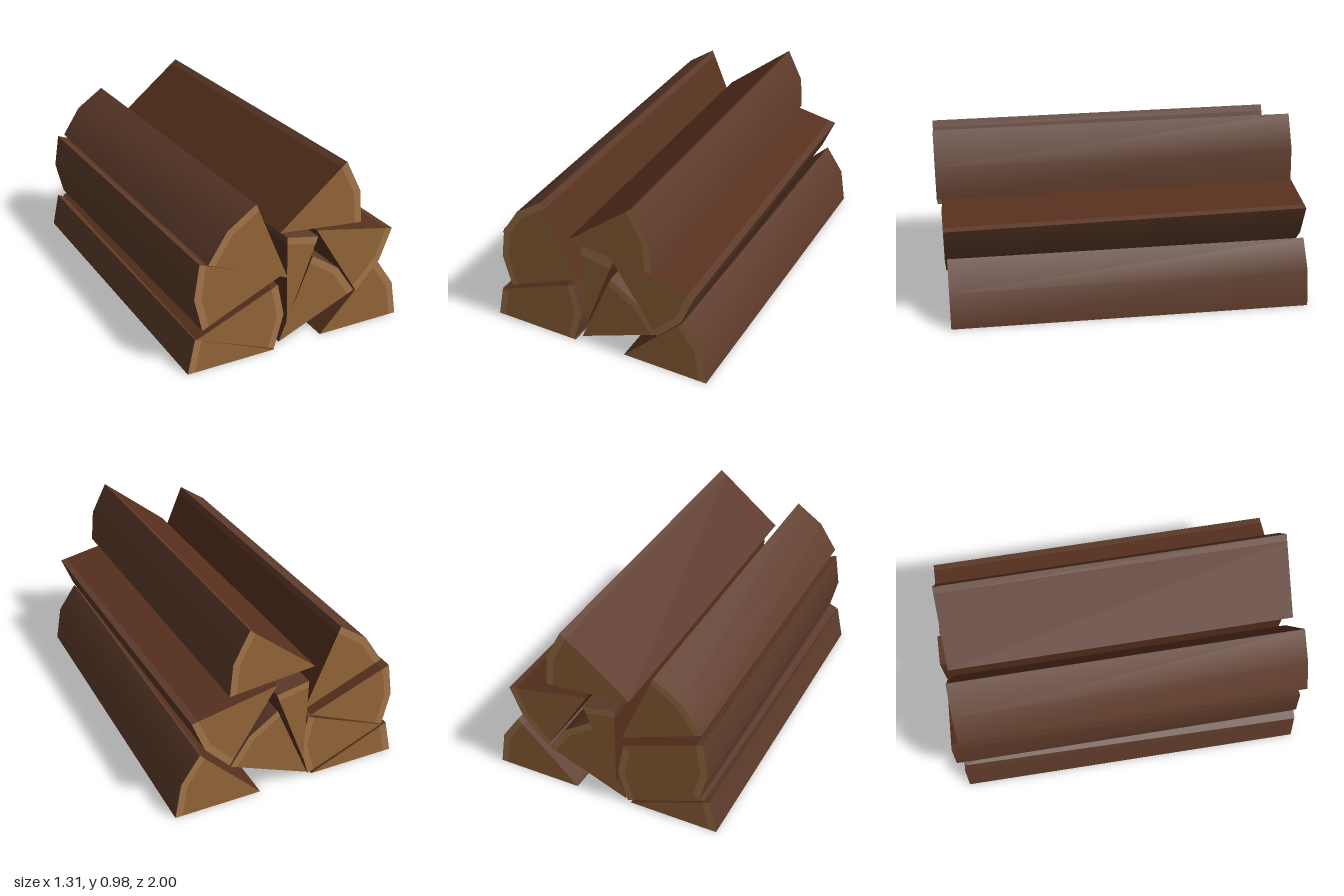
import * as THREE from 'three';
import { toCreasedNormals } from 'three/addons/utils/BufferGeometryUtils.js';

const material = (color) => new THREE.MeshStandardMaterial({ color });

// Each log: split tip, outer bark points, front and back z, sideways drift towards the back
const LOGS = [
  { name: 'bottomLeftLog', tip: [-0.16, 0], arc: [[-0.617, 0.19], [-0.658, 0]], z: [0.975, -0.975], drift: [0.01, 0] },
  { name: 'lowerLeftLog', tip: [-0.61, 0.19], arc: [[-0.15, 0.38], [-0.112, 0.2], [-0.165, 0.01]], z: [0.98, -0.97], drift: [0.035, -0.005] },
  { name: 'middleLeftLog', tip: [-0.12, 0.412], arc: [[-0.58, 0.587], [-0.61, 0.4], [-0.566, 0.216]], z: [0.955, -0.995], drift: [0.005, -0.006] },
  { name: 'upperLeftLog', tip: [-0.106, 0.42], arc: [[-0.295, 0.865], [-0.452, 0.758], [-0.556, 0.6]], z: [1, -0.955], drift: [0.007, 0] },
  { name: 'topLog', tip: [-0.155, 0.677], arc: [[0.223, 0.983], [0.312, 0.81], [0.328, 0.63]], z: [0.995, -0.955], drift: [0.006, -0.007] },
  { name: 'thinMiddleLog', tip: [-0.085, 0.14], arc: [[-0.096, 0.627], [0.087, 0.592]], z: [0.97, -1], drift: [0.006, -0.003] },
  { name: 'upperRightLog', tip: [0.078, 0.628], arc: [[0.548, 0.536], [0.477, 0.36], [0.338, 0.215]], z: [0.97, -0.98], drift: [0.005, 0.006] },
  { name: 'lowerMiddleLog', tip: [-0.125, 0.028], arc: [[0.066, 0.48], [0.225, 0.373], [0.33, 0.216]], z: [0.96, -0.975], drift: [0.005, -0.008] },
  { name: 'bottomRightLog', tip: [0.13, 0], arc: [[0.478, 0.348], [0.582, 0.197], [0.616, 0]], z: [0.96, -0.99], drift: [0.037, 0] },
];

// Prism along z whose section slides by the drift as it runs to the back
function prism(points, [front, back], [dx, dy]) {
  const shape = new THREE.Shape(points.map(([x, y]) => new THREE.Vector2(x, y)));
  const geometry = new THREE.ExtrudeGeometry(shape, { depth: front - back, bevelEnabled: false });
  geometry.translate(0, 0, back);
  const p = geometry.attributes.position;
  for (let i = 0; i < p.count; i++) {
    const t = (front - p.getZ(i)) / (front - back);
    p.setXY(i, p.getX(i) + dx * t, p.getY(i) + dy * t);
  }
  return toCreasedNormals(geometry, 0.7);
}

export function createModel() {
  const model = new THREE.Group();
  model.name = 'firewoodPile';
  const endGrain = material(0x97683a);
  const rim = material(0xa8784c);
  const split = material(0x57301d);
  const bark = material(0x5e3b2a);

  for (const { name, tip, arc, z, drift } of LOGS) {
    // The bark layer is the outer slice of the wedge
    const inner = arc.map(([x, y]) => [tip[0] + (x - tip[0]) * 0.92, tip[1] + (y - tip[1]) * 0.92]);
    const log = new THREE.Group();
    log.name = name;

    const core = new THREE.Mesh(prism([tip, ...inner], z, drift), [endGrain, split]);
    core.name = 'splitWood';
    const shell = new THREE.Mesh(prism([...arc, ...inner.slice().reverse()], z, drift), [rim, bark]);
    shell.name = 'bark';

    log.add(core, shell);
    model.add(log);
  }
  return model;
}
